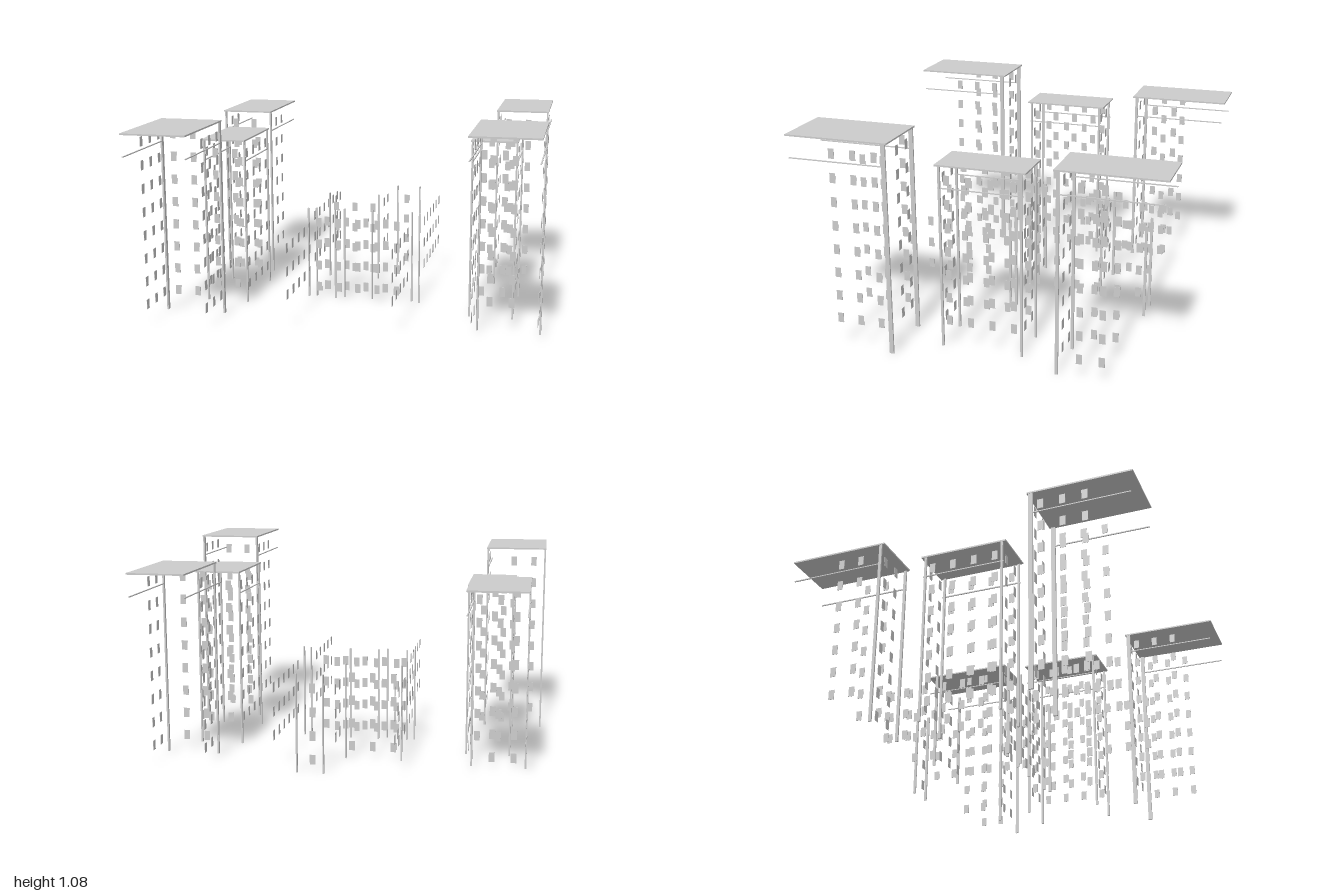
import * as THREE from 'three';
import { mergeGeometries } from 'three/addons/utils/BufferGeometryUtils.js';

const material = new THREE.MeshStandardMaterial({ color: 0xcccccc, flatShading: true });
const WIN_W = 0.03, WIN_H = 0.05, WIN_T = 0.002, STEP = 0.11, ROW = 0.121;

function box(w, h, d, x, y, z) {
  return new THREE.BoxGeometry(w, h, d).translate(x, y, z);
}

function part(name, boxes) {
  const mesh = new THREE.Mesh(mergeGeometries(boxes), material);
  mesh.name = name;
  return mesh;
}

// evenly spaced values
const series = (start, step, count) => Array.from({ length: count }, (_, i) => start + i * step);

// side walls have no windows right at the ground
const aboveGround = rows => rows.filter(y => y > 0.07);

// window panes facing z, and panes facing x
const zPanes = (xs, ys, z) => xs.flatMap(x => ys.map(y => box(WIN_W, WIN_H, WIN_T, x, y, z)));
const xPanes = (x, ys, zs) => zs.flatMap(z => ys.map(y => box(WIN_T, WIN_H, WIN_W, x, y, z)));

// corner post standing on the ground
const post = (x, z, h, w, d) => box(w, h, d, x, h / 2, z);

function tower(name, t) {
  const group = new THREE.Group();
  group.name = name;
  const [x0, x1] = t.x, [z0, z1] = t.z, h = t.h;
  const w = x1 - x0, d = z1 - z0, cx = (x0 + x1) / 2, cz = (z0 + z1) / 2;
  const sides = [x0 + 0.006, x1 - 0.006];
  const rows = series(h - 0.076, -ROW, t.rows);
  const columns = series(x0 + 0.067, STEP, 2);

  group.add(part('roof', [box(w, 0.008, d, cx, h - 0.004, cz)]));
  group.add(part('sideRails', sides.map(x => box(0.006, 0.005, d - 0.025, x, h - 0.117, cz))));
  group.add(part('cornerPosts', t.faces.flatMap(z =>
    sides.map(x => post(x, z, h - 0.006, 0.009, t.postDepth)))));
  group.add(part('windows', [
    ...t.faces.flatMap(z => zPanes(columns, rows, z)),
    ...sides.flatMap(x => xPanes(x, aboveGround(rows), t.sideColumns)),
  ]));
  return group;
}

function centralBlock() {
  const group = new THREE.Group();
  group.name = 'centralBlock';
  const rows = series(0.43, -0.122, 4), sideRows = aboveGround(rows);

  // long outer walls of the front and back wings, both sides
  const outer = [-1, 1].flatMap(s => [
    ...xPanes(s * 0.27, sideRows, series(0.168, STEP, 5)),
    ...xPanes(s * 0.314, sideRows, series(-0.12, -0.109, 6)),
  ]);
  group.add(part('sideWindows', outer));

  // walls that cross the block
  group.add(part('crossWindows', [
    ...zPanes(series(-0.248, 0.109, 5), rows, 0.043),
    ...zPanes(series(-0.211, STEP, 4), rows, 0.006),
    ...zPanes(series(-0.248, 0.109, 3), rows, -0.374),
    ...zPanes([0.12], rows, -0.656),
  ]));

  // short inner walls of the back court
  group.add(part('courtWindows', [-0.293, 0.003].flatMap(x =>
    xPanes(x, sideRows, [-0.545, -0.655]))));

  const spots = [
    [-0.31, 0.03], [0.31, 0.03], [-0.269, 0.012], [0.267, 0.012],
    [-0.157, 0.038], [-0.112, 0.008], [0.045, 0.008],
    [-0.292, -0.388], [0, -0.388], [0.062, -0.675], [0.197, -0.675],
  ];
  group.add(part('posts', spots.map(([x, z]) => post(x, z, 0.505, 0.007, 0.014))));
  return group;
}

export function createModel() {
  const model = new THREE.Group();
  model.name = 'towerEstate';

  // settings shared by each pair of towers
  const front = { z: [0.396, 0.922], faces: [0.415], sideColumns: series(0.464, 0.11, 3), rows: 8, postDepth: 0.022 };
  const middle = { z: [-0.23, 0.228], faces: [0.206, -0.206], sideColumns: series(-0.168, 0.112, 4), rows: 7, postDepth: 0.012 };
  const back = { z: [-0.924, -0.397], faces: [-0.418], sideColumns: [-0.528, -0.638], rows: 8, postDepth: 0.015 };

  model.add(
    tower('frontLeftTower', { ...front, x: [0.668, 0.999], h: 1.078 }),
    tower('frontRightTower', { ...front, x: [-1, -0.67], h: 1.035 }),
    tower('middleLeftTower', { ...middle, x: [0.603, 0.842], h: 0.946 }),
    tower('middleRightTower', { ...middle, x: [-0.846, -0.608], h: 0.903 }),
    tower('backLeftTower', { ...back, x: [0.674, 0.96], h: 1.018 }),
    tower('backRightTower', { ...back, x: [-0.935, -0.649], h: 0.973 }),
    centralBlock(),
  );
  return model;
}
